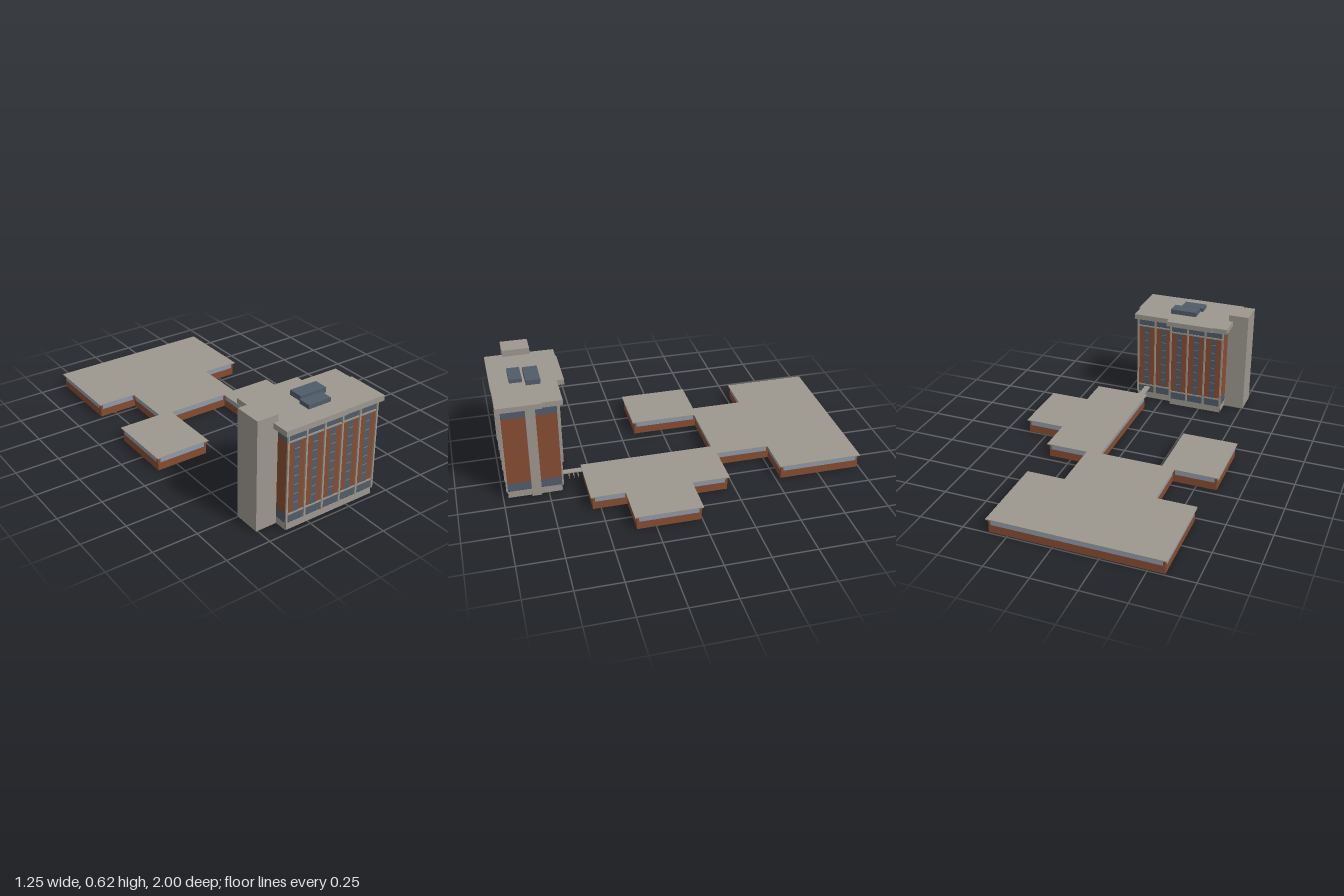
import * as THREE from 'three';

const mat = (name, color, side = THREE.FrontSide) => {
  const m = new THREE.MeshStandardMaterial({ color, side });
  m.name = name;
  return m;
};

export function createModel() {
  const concrete = mat('concrete', 0x9c978e, THREE.DoubleSide);
  const brick = mat('brick', 0x864c31, THREE.DoubleSide);
  const darkGlass = mat('dark glass', 0x505c6a, THREE.DoubleSide);
  const paleGlass = mat('pale glass', 0x8d9aad, THREE.DoubleSide);

  const model = new THREE.Group();
  const group = (name) => {
    const g = new THREE.Group();
    g.name = name;
    model.add(g);
    return g;
  };
  const add = (parent, name, geometry, material) => {
    const mesh = new THREE.Mesh(geometry, material);
    mesh.name = name;
    parent.add(mesh);
    return mesh;
  };

  // Box from its minimum and maximum corners
  const box = (parent, name, material, x0, x1, y0, y1, z0, z1) =>
    add(parent, name, new THREE.BoxGeometry(x1 - x0, y1 - y0, z1 - z0), material)
      .position.set((x0 + x1) / 2, (y0 + y1) / 2, (z0 + z1) / 2);

  // Horizontal slab from a plan outline of [x, z] points
  const slab = (parent, name, material, plan, y0, y1) => {
    const shape = new THREE.Shape(plan.map(([x, z]) => new THREE.Vector2(x, -z)));
    const geometry = new THREE.ExtrudeGeometry(shape, { depth: y1 - y0, bevelEnabled: false });
    geometry.rotateX(-Math.PI / 2).translate(0, y0, 0);
    add(parent, name, geometry, material);
  };

  // Edges of a plan with length, midpoint, direction and outward normal
  const edgesOf = (plan) => plan.map(([ax, az], i) => {
    const [bx, bz] = plan[(i + 1) % plan.length];
    const length = Math.hypot(bx - ax, bz - az);
    const dx = (bx - ax) / length, dz = (bz - az) / length;
    return { ax, az, length, dx, dz, nx: dz, nz: -dx };
  });

  // Right-angled plan moved inwards by a distance
  const inset = (plan, d) => {
    const edges = edgesOf(plan);
    return plan.map(([x, z], i) => {
      const e = edges[i], p = edges[(i + plan.length - 1) % plan.length];
      return [x - d * (e.nx + p.nx), z - d * (e.nz + p.nz)];
    });
  };

  // Upright panel on an edge between distances s0 and s1 along it
  const panel = (parent, name, material, e, s0, s1, y0, y1, out = 0) => {
    const s = (s0 + s1) / 2;
    const mesh = add(parent, name, new THREE.PlaneGeometry(s1 - s0, y1 - y0), material);
    mesh.position.set(e.ax + e.dx * s + e.nx * out, (y0 + y1) / 2, e.az + e.dz * s + e.nz * out);
    mesh.rotation.y = Math.atan2(e.nx, e.nz);
  };

  // Solid strip standing out from an edge
  const rib = (parent, name, e, s0, s1, y0, y1, depth) => {
    const s = (s0 + s1) / 2;
    const mesh = add(parent, name, new THREE.BoxGeometry(s1 - s0, y1 - y0, depth), concrete);
    mesh.position.set(e.ax + e.dx * s + e.nx * depth / 2, (y0 + y1) / 2, e.az + e.dz * s + e.nz * depth / 2);
    mesh.rotation.y = Math.atan2(e.nx, e.nz);
  };

  // Low wings: one flat roof over brick walls with high window strips
  const low = group('lowWings');
  const lowPlan = [
    [-0.6, -1], [0.365, -1], [0.365, -0.52], [0.145, -0.52], [0.145, -0.217], [0.39, -0.217],
    [0.39, -0.005], [0.62, -0.005], [0.62, 0.365], [0.39, 0.365], [0.39, 0.555], [0.065, 0.555],
    [0.065, -0.205], [-0.3, -0.205], [-0.3, 0.175], [-0.625, 0.175], [-0.625, -0.22],
    [-0.375, -0.22], [-0.375, -0.515], [-0.6, -0.515],
  ];
  slab(low, 'lowRoof', concrete, lowPlan, 0.077, 0.083);
  for (const e of edgesOf(inset(lowPlan, 0.01))) {
    panel(low, 'lowWall', brick, e, 0, e.length, 0, 0.077);
    panel(low, 'windowStrip', paleGlass, e, 0.013, e.length - 0.013, 0.047, 0.073, 0.002);
  }

  // Covered walkway to the tower
  const walkway = group('walkway');
  box(walkway, 'walkwayRoof', concrete, 0.085, 0.12, 0.072, 0.078, 0.55, 0.68);
  for (const z of [0.575, 0.6, 0.625])
    for (const x of [0.088, 0.115])
      box(walkway, 'walkwayPost', concrete, x, x + 0.003, 0.035, 0.072, z, z + 0.003);

  // Tower walls in stacked bands
  const tower = group('tower');
  const towerPlan = [
    [-0.385, 0.642], [-0.058, 0.642], [-0.058, 0.675], [0.165, 0.675], [0.165, 0.972], [-0.385, 0.972],
  ];
  const bay = 0.11;
  for (const e of edgesOf(towerPlan)) {
    panel(tower, 'base', concrete, e, 0, e.length, 0, 0.04, 0.001);
    panel(tower, 'lowerGlazing', darkGlass, e, 0, e.length, 0.04, 0.09);
    panel(tower, 'brickWall', brick, e, 0, e.length, 0.09, 0.495);
    panel(tower, 'upperGlazing', darkGlass, e, 0, e.length, 0.495, 0.547);
    if (Math.abs(e.nz) < 0.5) continue;

    // Front and back bays with columns, ledges and window strips
    const bays = Math.round(e.length / bay), width = e.length / bays;
    for (const y of [0.086, 0.491]) rib(tower, 'ledge', e, 0, e.length, y, y + 0.008, 0.005);
    for (let i = 0; i <= bays; i++)
      rib(tower, 'column', e, i * width - 0.005, i * width + 0.005, 0.04, 0.547, 0.009);
    for (let i = 0; i < bays; i++) {
      const c = (i + 0.5) * width;
      panel(tower, 'windows', darkGlass, e, c - 0.017, c + 0.017, 0.094, 0.491, 0.002);
      for (let k = 0; k < 7; k++)
        panel(tower, 'windowSill', concrete, e, c - 0.014, c + 0.014, 0.146 + k * 0.0505, 0.149 + k * 0.0505, 0.004);
    }
  }
  box(tower, 'sidePier', concrete, 0.165, 0.18, 0, 0.547, 0.79, 0.843);

  // Tower roof with its stepped outline
  slab(tower, 'towerRoof', concrete, [
    [-0.415, 0.608], [-0.33, 0.608], [-0.33, 0.602], [-0.04, 0.602], [-0.04, 0.642], [0.18, 0.642],
    [0.18, 0.755], [0.19, 0.755], [0.19, 0.997], [-0.05, 0.997], [-0.05, 1], [-0.415, 1],
  ], 0.547, 0.577);
  box(tower, 'roofUnit', darkGlass, -0.185, -0.025, 0.577, 0.605, 0.73, 0.81);
  box(tower, 'roofUnit', darkGlass, -0.202, -0.067, 0.577, 0.6, 0.825, 0.895);

  // Stair shaft on the tower's side
  box(tower, 'stairShaft', concrete, -0.508, -0.388, 0, 0.615, 0.745, 0.9);

  return model;
}
